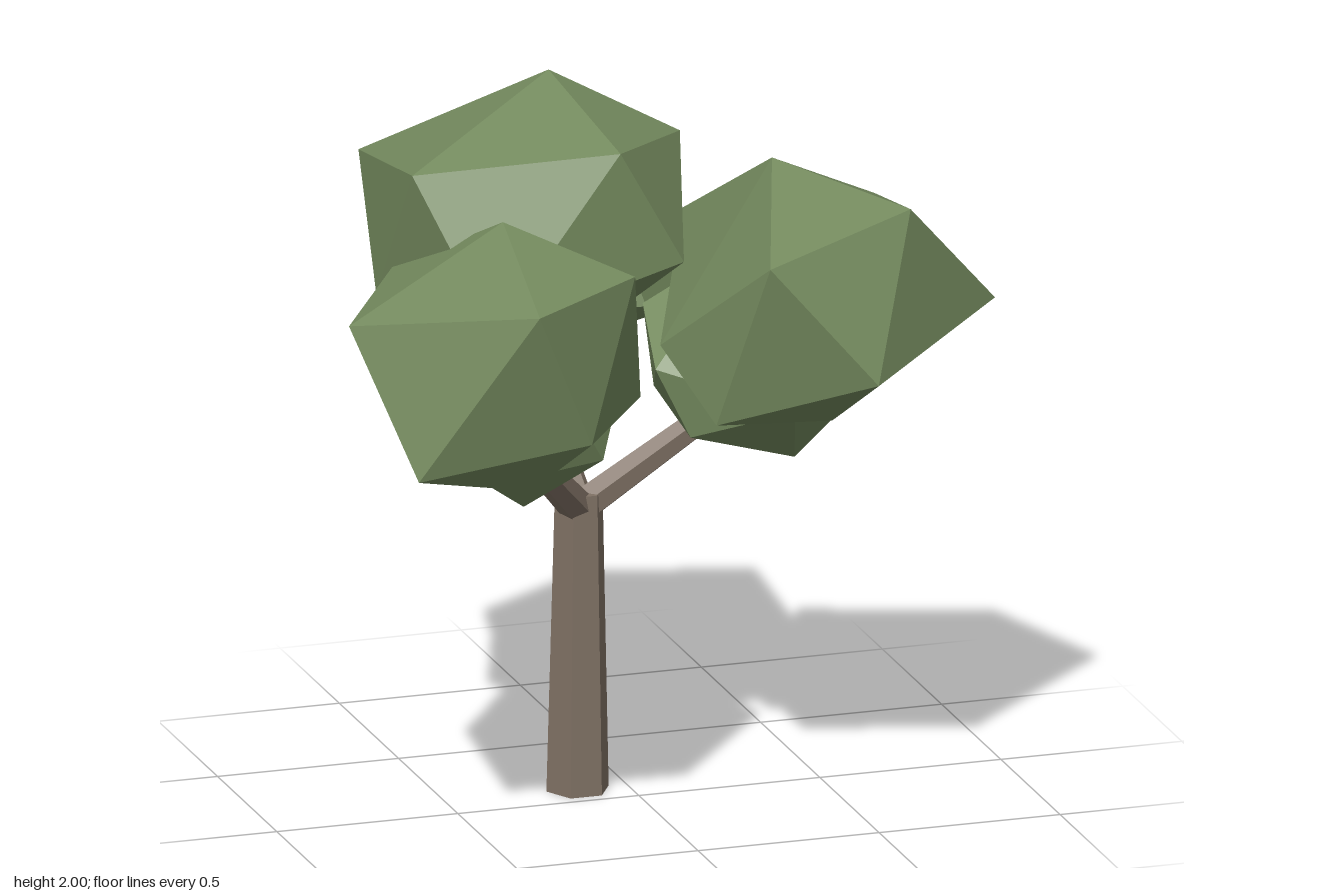
import * as THREE from 'three';
import { ConvexGeometry } from 'three/addons/geometries/ConvexGeometry.js';

const V = (p) => new THREE.Vector3(...p);

export function createModel() {
  const tree = new THREE.Group();
  tree.name = 'tree';
  const bark = new THREE.MeshStandardMaterial({ color: 0x807265 });
  bark.name = 'bark brown';
  const leaf = new THREE.MeshStandardMaterial({ color: 0x748a5e });
  leaf.name = 'leaf green';

  const add = (name, geometry, material) => {
    const mesh = new THREE.Mesh(geometry, material);
    mesh.name = name;
    tree.add(mesh);
    return mesh;
  };

  // Faceted six-sided limb between two points
  const limb = (name, from, to, r0, r1) => {
    const a = V(from), b = V(to), dir = b.clone().sub(a);
    const g = new THREE.CylinderGeometry(r1, r0, dir.length(), 6).rotateY(Math.PI / 6).toNonIndexed();
    g.computeVertexNormals();
    const mesh = add(name, g, bark);
    mesh.position.copy(a).add(b).multiplyScalar(0.5);
    mesh.quaternion.setFromUnitVectors(new THREE.Vector3(0, 1, 0), dir.normalize());
  };

  // Trunk and its three branches
  limb('trunk', [-0.135, 0.005, -0.105], [-0.135, 0.83, -0.095], 0.086, 0.066);
  const fork = [-0.135, 0.78, -0.095];
  limb('frontBranch', fork, [-0.45, 1.13, 0.27], 0.048, 0.032);
  limb('leftBranch', fork, [0.36, 1.13, -0.02], 0.048, 0.032);
  limb('backBranch', fork, [-0.18, 1.16, -0.45], 0.048, 0.032);

  // Crown clumps: hulls of a few corner points each
  const crowns = {
    topCrown: [
      [-0.22, 2, -0.09], [-0.69, 1.84, 0.195], [-0.16, 1.89, 0.335], [0.11, 1.83, 0.01],
      [-0.12, 1.67, -0.39], [-0.665, 1.75, -0.335], [-0.53, 1.45, 0.405], [0.02, 1.57, 0.32],
      [0.1, 1.5, -0.15], [-0.35, 1.38, -0.32], [-0.72, 1.45, -0.015], [-0.12, 1.32, 0.02],
    ],
    frontCrown: [
      [-0.5, 1.75, 0.38], [-0.93, 1.51, 0.395], [-0.54, 1.62, 0.815], [-0.2, 1.63, 0.58],
      [-0.11, 1.22, 0.35], [-0.37, 1.23, 0.735], [-0.825, 1.15, 0.665], [-0.44, 1.02, 0.435],
      [-0.7, 1.55, 0.06], [-0.28, 1.58, 0.1], [-0.69, 1.1, 0.39], [-0.35, 1.25, 0.12],
    ],
    leftCrown: [
      [0.335, 1.76, 0.1], [0.63, 1.67, 0.37], [0.925, 1.34, 0.18], [0.19, 1.595, 0.53],
      [0.465, 1.27, 0.605], [0.69, 1.56, -0.12], [0.6, 1.25, -0.355], [0.23, 1.5, -0.335],
      [0.09, 1.13, 0.38], [0.01, 1.29, 0.15], [0.48, 1.04, 0.165], [0.18, 1.17, -0.2],
    ],
    backCrown: [
      [0.17, 1.64, -0.605], [-0.235, 1.57, -0.775], [0.065, 1.3, -0.82], [0.31, 1.225, -0.39],
      [-0.435, 1.23, -0.775], [-0.575, 1.46, -0.46], [-0.015, 1.56, -0.22], [0.07, 1.3, -0.15],
      [-0.5, 1.25, -0.3], [-0.1, 1.09, -0.5],
    ],
    leftLowerClump: [
      [0.43, 0.895, 0], [0.605, 1.09, 0.06], [0.11, 1.01, 0.1], [0.02, 1.2, 0.08],
      [0.26, 1.18, -0.38], [0.3, 1.48, -0.06], [0.545, 1.41, -0.285], [0.5, 1.1, -0.22],
      [0.1, 1.07, -0.18], [0.35, 1.1, 0.25], [0.05, 1.32, -0.12],
    ],
  };
  for (const [name, points] of Object.entries(crowns)) {
    add(name, new ConvexGeometry(points.map(V)), leaf);
  }

  // Small clumps at the branch ends: uneven icosahedra standing on a corner
  const clump = (name, center, size, seed) => {
    const p = new THREE.IcosahedronGeometry(1, 0).rotateZ(-0.5536).rotateY(seed).attributes.position;
    const corners = new Map();
    for (let i = 0; i < p.count; i++) {
      const v = new THREE.Vector3().fromBufferAttribute(p, i);
      corners.set(v.toArray().map((n) => Math.round(n * 100)).join(), v);
    }
    const points = [...corners.values()].map((v, i) =>
      v.multiplyScalar(1.02 + 0.1 * Math.sin(seed + i * 2.4)).multiply(V(size)).add(V(center)));
    add(name, new ConvexGeometry(points), leaf);
  };
  clump('frontLowerClump', [-0.41, 1.2, 0.28], [0.3, 0.25, 0.29], 1);
  clump('backLowerClump', [-0.2, 1.19, -0.44], [0.33, 0.27, 0.3], 4);

  return tree;
}
